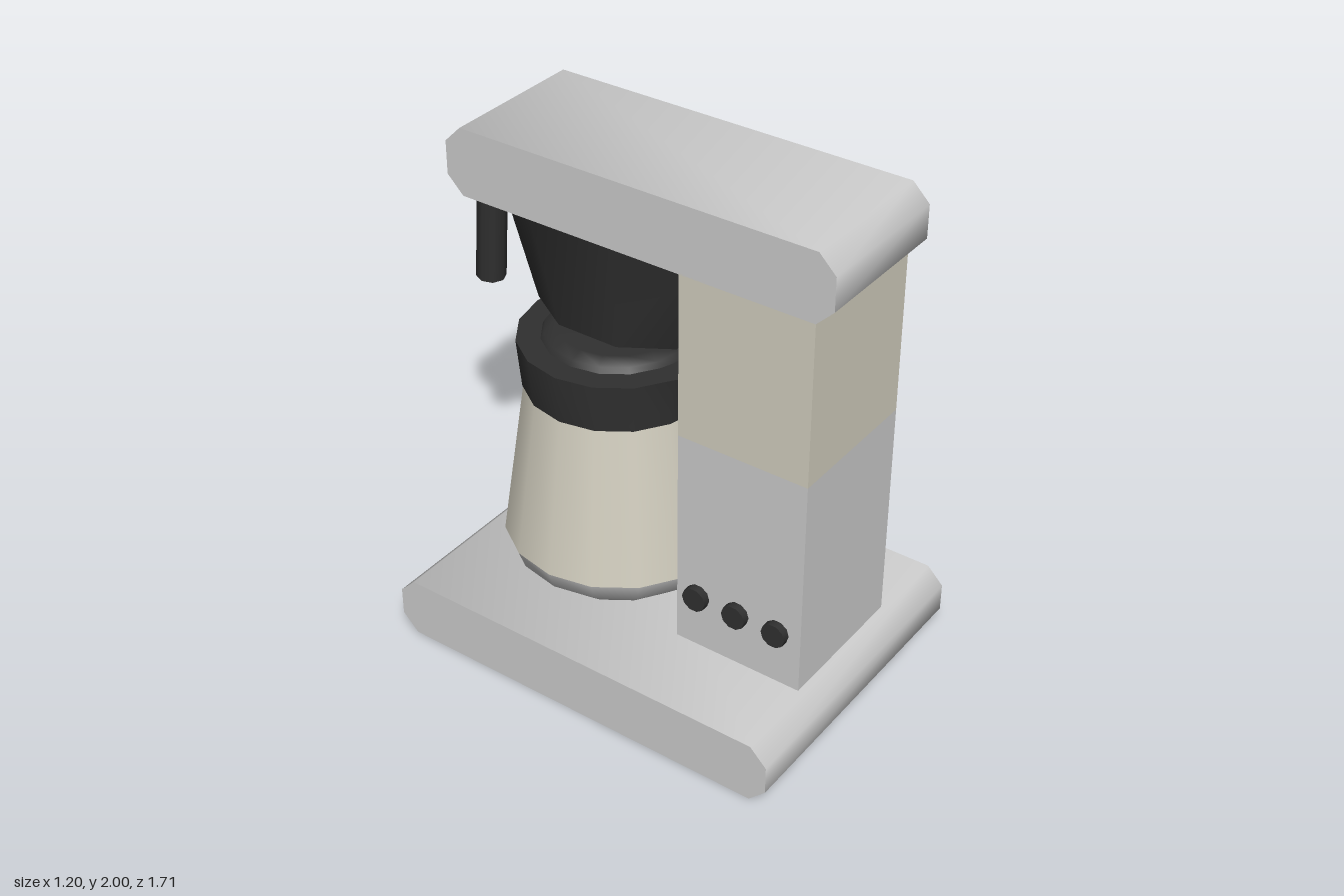
import * as THREE from 'three';
import { toCreasedNormals } from 'three/addons/utils/BufferGeometryUtils.js';

const paint = (color) => new THREE.MeshStandardMaterial({ color });
const grey = paint(0xcccccc);
const beige = paint(0xd2cebf);
const black = paint(0x303030);

export function createModel() {
  const model = new THREE.Group();

  const add = (name, geometry, material, x = 0, y = 0, z = 0) => {
    const mesh = new THREE.Mesh(geometry, material);
    mesh.name = name;
    mesh.position.set(x, y, z);
    model.add(mesh);
    return mesh;
  };

  // Slab with bevelled front and back ends, extruded across x
  const slab = (name, width, y0, y1, zBack, zFront) => {
    const c = 0.065;
    const outline = [
      [zBack + c, y0], [zFront - c, y0], [zFront, y0 + c], [zFront, y1 - c],
      [zFront - c, y1], [zBack + c, y1], [zBack, y1 - c], [zBack, y0 + c],
    ].map(([z, y]) => new THREE.Vector2(-z, y));
    const geometry = new THREE.ExtrudeGeometry(new THREE.Shape(outline), { depth: width, bevelEnabled: false });
    geometry.translate(0, 0, -width / 2).rotateY(Math.PI / 2);
    add(name, toCreasedNormals(geometry, Math.PI / 3), grey);
  };
  slab('base', 1.2, 0, 0.24, -0.775, 0.855);
  slab('topArm', 0.56, 1.745, 2, -0.7, 0.84);

  // Column in two tones
  add('columnLower', new THREE.BoxGeometry(0.56, 0.87, 0.515), grey, 0, 0.685, 0.518);
  add('columnUpper', new THREE.BoxGeometry(0.56, 0.63, 0.515), beige, 0, 1.435, 0.518);

  // Row of buttons on one side of the column
  for (const z of [0.35, 0.515, 0.68]) {
    const button = new THREE.CylinderGeometry(0.048, 0.048, 0.04, 10).rotateZ(Math.PI / 2);
    add('button', toCreasedNormals(button, Math.PI / 3), black, -0.29, 0.47, z);
  }

  // Filter basket: eight-sided funnel, narrower across x
  const k = 1 / Math.cos(Math.PI / 8);
  const basket = new THREE.CylinderGeometry(0.425 * k, 0.3 * k, 0.45, 8, 1, false, Math.PI / 8);
  basket.scale(0.62, 1, 1);
  add('filterBasket', toCreasedNormals(basket, Math.PI / 3), black, 0, 1.525, -0.19);

  // Handle with a capped lower end
  const path = new THREE.CatmullRomCurve3([
    [-0.57, 1.73], [-0.65, 1.765], [-0.715, 1.785], [-0.757, 1.74], [-0.773, 1.6], [-0.8, 1.23],
  ].map(([z, y]) => new THREE.Vector3(0.03, y, z)));
  add('basketHandle', new THREE.TubeGeometry(path, 20, 0.056, 8, false), black);
  const cap = new THREE.CircleGeometry(0.056, 8).rotateX(Math.PI / 2);
  add('handleEnd', cap, black, 0.03, 1.23, -0.8).rotation.x = 0.07;

  // Turned parts of the jug
  const turned = (points) => new THREE.LatheGeometry(points.map(([r, y]) => new THREE.Vector2(r, y)), 16);
  const jugZ = -0.195;
  add('jugBottom', turned([[0, 0.26], [0.32, 0.26], [0.41, 0.34], [0.435, 0.41]]), grey, 0, 0, jugZ);
  add('jugBody', turned([[0.435, 0.41], [0.345, 1.03]]), beige, 0, 0, jugZ);

  // Collar, with its front rim point pulled out into a spout
  const collar = turned([[0.34, 1.03], [0.348, 1.03], [0.365, 1.22], [0, 1.22]]);
  const p = collar.attributes.position;
  for (let i = 0; i < p.count; i++) {
    if (Math.abs(p.getX(i)) < 0.01 && p.getZ(i) > 0.3 && p.getY(i) > 1.1) {
      p.setZ(i, p.getZ(i) + 0.07);
      p.setY(i, 1.205);
    }
  }
  add('jugCollar', toCreasedNormals(collar, Math.PI / 4), black, 0, 0, jugZ);

  const lid = turned([[0.28, 1.215], [0.265, 1.24], [0.22, 1.258], [0, 1.26]]);
  add('jugLid', lid, black, 0, 0, jugZ);

  return model;
}
